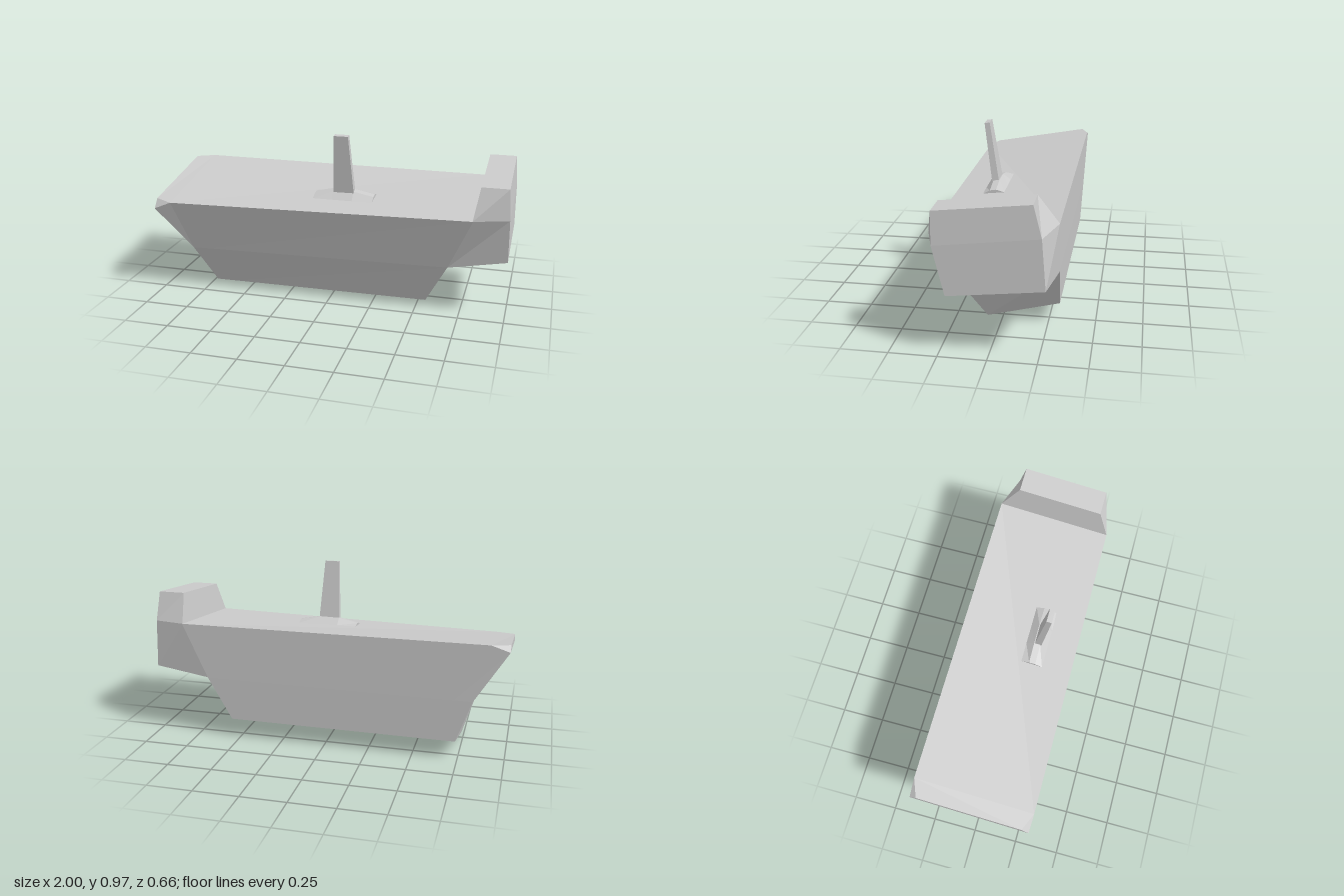
import * as THREE from 'three';

// Skins a series of cross-section rings and closes both ends with strips.
// Rings run clockwise when seen from the end of the series.
function loft(name, rings) {
  const pos = [];
  const tri = (...pts) => {
    const [a, b, c] = pts.map((p) => new THREE.Vector3(...p));
    const area = b.clone().sub(a).cross(c.clone().sub(a)).length();
    if (area > 1e-7) pts.forEach((p) => pos.push(...p));
  };
  const quad = (a, b, c, d) => { tri(a, b, c); tri(a, c, d); };
  const n = rings[0].length;
  for (let i = 0; i < rings.length - 1; i++) {
    const a = rings[i], b = rings[i + 1];
    for (let j = 0; j < n; j++) {
      const k = (j + 1) % n;
      quad(a[j], b[j], b[k], a[k]);
    }
  }
  const first = rings[0], last = rings[rings.length - 1];
  for (let j = 0; j < n / 2 - 1; j++) {
    const k = n - 1 - j;
    quad(last[j], last[k], last[k - 1], last[j + 1]);
    quad(first[j + 1], first[k - 1], first[k], first[j]);
  }
  const geo = new THREE.BufferGeometry();
  geo.setAttribute('position', new THREE.Float32BufferAttribute(pos, 3));
  geo.computeVertexNormals();
  const mesh = new THREE.Mesh(geo, new THREE.MeshStandardMaterial({ color: 0xcccccc, flatShading: true }));
  mesh.name = name;
  return mesh;
}

export function createModel() {
  const group = new THREE.Group();
  group.name = 'boat';

  // Hull: keel, knuckle and deck edge, with clipped deck corners at one end
  group.add(loft('hull', [
    [[-0.735, 0, 0.08], [-0.82, 0.25, 0.22], [-1, 0.51, 0.325], [-1, 0.56, 0.285],
      [-1, 0.665, -0.29], [-1, 0.635, -0.328], [-0.82, 0.345, -0.32], [-0.735, 0.105, -0.31]],
    [[-0.635, 0.001, 0.08], [-0.72, 0.252, 0.22], [-0.9, 0.553, 0.329], [-0.9, 0.553, 0.329],
      [-0.9, 0.668, -0.33], [-0.9, 0.668, -0.33], [-0.72, 0.346, -0.32], [-0.635, 0.105, -0.31]],
    [[0.545, 0.01, 0.08], [0.68, 0.28, 0.22], [0.815, 0.59, 0.32], [0.815, 0.59, 0.32],
      [0.815, 0.665, -0.33], [0.815, 0.665, -0.33], [0.68, 0.355, -0.32], [0.545, 0.11, -0.31]],
  ]));

  // Raised block overhanging the other end
  group.add(loft('endBlock', [
    [[0.68, 0.28, 0.22], [0.812, 0.59, 0.32], [0.842, 0.762, 0.26],
      [0.842, 0.817, -0.225], [0.812, 0.665, -0.33], [0.68, 0.355, -0.32]],
    [[1, 0.333, 0.2], [1, 0.59, 0.26], [0.99, 0.762, 0.26],
      [0.99, 0.817, -0.225], [1, 0.655, -0.267], [1, 0.39, -0.287]],
  ]));

  // Low ridge on the deck, highest under the mast
  const ridge = [[-0.1, 0.615], [0.01, 0.64], [0.125, 0.642], [0.24, 0.62]];
  group.add(loft('mastFoot', ridge.map(([x, y]) => [
    [x, 0.595, 0.16], [x, y - 0.003, 0.12], [x, y + 0.003, 0.085], [x, 0.61, 0.04],
  ])));

  // Leaning, tapered mast
  const slab = (y, x0, x1, z0, z1, dy) => [
    [x0, y, z0], [x1, y, z0], [x1, y - dy, z1], [x0, y - dy, z1],
  ];
  group.add(loft('mast', [
    slab(0.61, 0.01, 0.13, 0.084, 0.124, 0),
    slab(0.967, 0.025, 0.105, 0.142, 0.171, 0.004),
  ]));

  return group;
}
